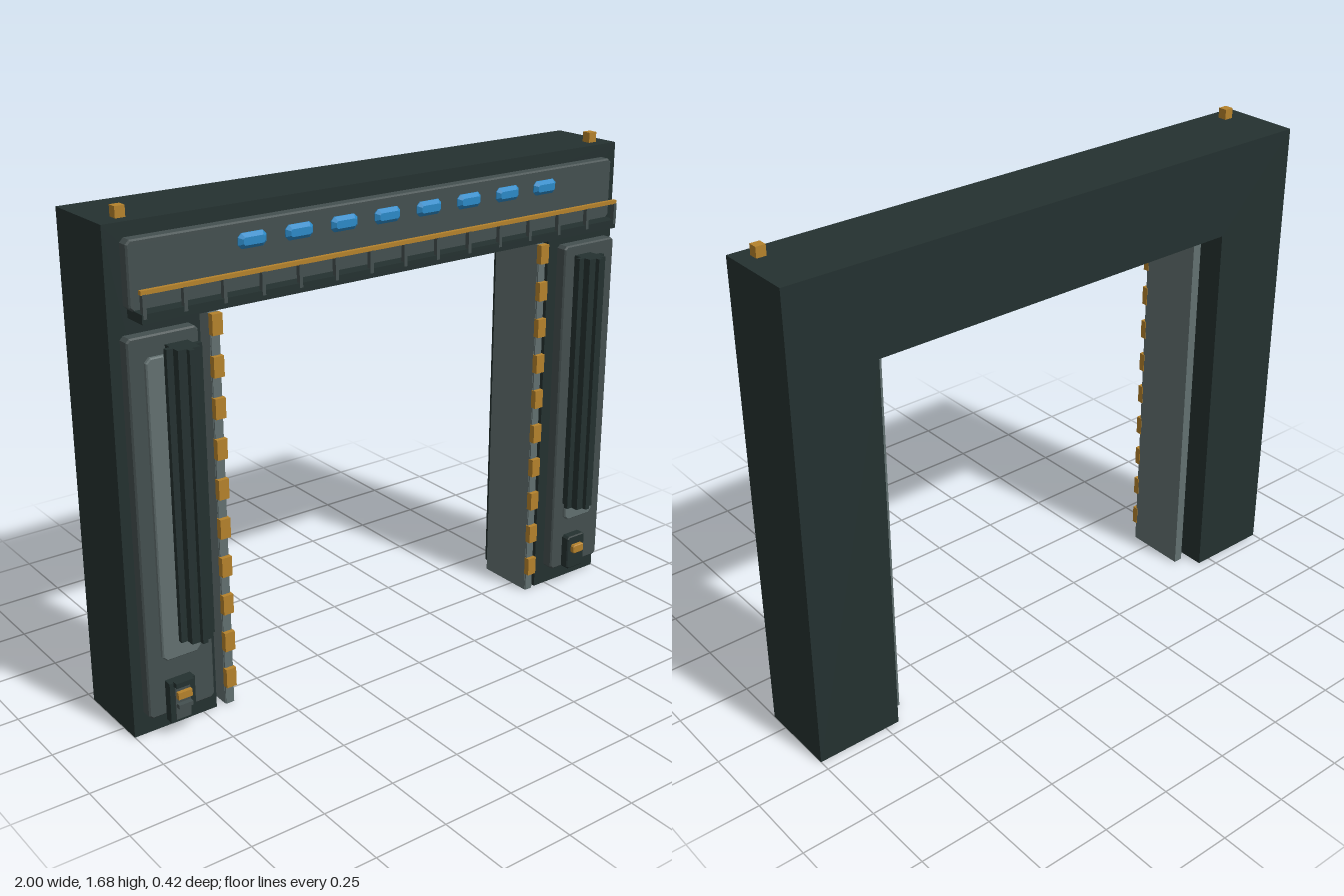
import * as THREE from 'three';

const mat = (name, color) => Object.assign(new THREE.MeshStandardMaterial({ color }), { name });

export function createModel() {
  const dark = mat('dark frame', 0x243130);
  const grey = mat('panel grey', 0x444f4f);
  const light = mat('light grey', 0x627070);
  const amber = mat('amber', 0xb5822c);
  const blue = mat('blue lamp', 0x2c8ac8);

  const root = new THREE.Group();
  root.name = 'gateway';

  const add = (geo, name, material, parent = root) => {
    const mesh = new THREE.Mesh(geo, material);
    mesh.name = name;
    parent.add(mesh);
    return mesh;
  };
  // Box given by its limits on each axis
  const box = (name, material, x0, x1, y0, y1, z0, z1, parent) => {
    const geo = new THREE.BoxGeometry(x1 - x0, y1 - y0, z1 - z0);
    geo.translate((x0 + x1) / 2, (y0 + y1) / 2, (z0 + z1) / 2);
    return add(geo, name, material, parent);
  };
  // Plate with cut corners and a bevelled front edge
  const plate = (name, material, x0, x1, y0, y1, z0, z1, cut, bevel, parent) => {
    const s = new THREE.Shape();
    const [a, b, c, d] = [x0 + bevel, x1 - bevel, y0 + bevel, y1 - bevel];
    s.moveTo(a + cut, c);
    s.lineTo(b - cut, c);
    s.lineTo(b, c + cut);
    s.lineTo(b, d - cut);
    s.lineTo(b - cut, d);
    s.lineTo(a + cut, d);
    s.lineTo(a, d - cut);
    s.lineTo(a, c + cut);
    s.closePath();
    const geo = new THREE.ExtrudeGeometry(s, {
      depth: z1 - z0 - bevel, bevelEnabled: true, bevelSize: bevel, bevelThickness: bevel, bevelSegments: 1,
    });
    geo.translate(0, 0, z0);
    return add(geo, name, material, parent);
  };

  // Arch frame: two legs and a beam in one outline
  const outline = new THREE.Shape();
  [[-1, 0], [-0.7, 0], [-0.7, 1.34], [0.7, 1.34], [0.7, 0], [1, 0], [1, 1.65], [-1, 1.65]]
    .forEach(([x, y], i) => (i ? outline.lineTo(x, y) : outline.moveTo(x, y)));
  const frame = new THREE.ExtrudeGeometry(outline, { depth: 0.28, bevelEnabled: false });
  frame.translate(0, 0, -0.21);
  add(frame, 'archFrame', dark);

  const shift = 0.0075; // fittings sit slightly off the frame centre
  for (const side of [-1, 1]) {
    const leg = new THREE.Group();
    leg.name = side < 0 ? 'rightLegFittings' : 'leftLegFittings';
    root.add(leg);
    const span = (centre, width) => [side * centre + shift - width / 2, side * centre + shift + width / 2];

    // Facing panels
    plate('legPanel', grey, ...span(0.854, 0.236), 0.07, 1.32, 0.07, 0.11, 0.008, 0.005, leg);
    plate('legInset', light, ...span(0.853, 0.135), 0.265, 1.255, 0.107, 0.124, 0.012, 0.004, leg);

    // Vertical finned conduit
    box('conduitBase', dark, ...span(0.815, 0.075), 0.335, 1.285, 0.115, 0.19, leg);
    box('conduitSideFin', dark, ...span(0.815, 0.118), 0.335, 1.285, 0.145, 0.162, leg);
    box('conduitFrontFin', dark, ...span(0.815, 0.018), 0.335, 1.285, 0.19, 0.207, leg);

    // Inner lining with hazard edge
    box('innerLining', light, ...span(0.659, 0.033), 0, 1.335, -0.145, 0.07, leg);
    const step = 1.335 / 20;
    for (let i = 0; i < 20; i++) {
      const odd = i % 2 === 1;
      box(odd ? 'hazardBlock' : 'edgeBlock', odd ? amber : light,
        ...span(0.659, odd ? 0.036 : 0.03), i * step, (i + 1) * step, 0.068, odd ? 0.09 : 0.075, leg);
    }

    // Roof marker lamp
    box('markerLamp', amber, ...span(0.924, 0.033), 1.65, 1.685, -0.005, 0.027, leg);
  }

  // Control box on the left leg
  const control = new THREE.Group();
  control.name = 'controlBox';
  root.add(control);
  plate('boxBody', dark, 0.797, 0.882, 0.068, 0.2, 0.11, 0.142, 0.006, 0.004, control);
  plate('boxButton', amber, 0.813, 0.865, 0.134, 0.167, 0.14, 0.158, 0.004, 0.003, control);

  // Card reader on the right leg
  const reader = new THREE.Group();
  reader.name = 'readerBox';
  root.add(reader);
  box('readerBody', dark, -0.905, -0.815, 0.052, 0.192, 0.11, 0.14, reader);
  box('readerFoot', dark, -0.895, -0.825, 0.037, 0.055, 0.11, 0.122, reader);
  box('readerFace', grey, -0.888, -0.835, 0.06, 0.172, 0.138, 0.144, reader);
  box('readerHood', dark, -0.892, -0.828, 0.18, 0.197, 0.138, 0.16, reader);
  box('readerLamp', amber, -0.885, -0.835, 0.136, 0.16, 0.142, 0.158, reader);
  box('readerSlot', grey, -0.885, -0.835, 0.104, 0.118, 0.142, 0.16, reader);

  // Beam facing, underside strip and lamps
  plate('beamPanel', grey, -0.947, 0.947, 1.395, 1.605, 0.07, 0.108, 0.01, 0.005);
  box('beamUnderside', grey, -0.64, 0.65, 1.333, 1.341, -0.14, 0.045);
  for (let i = 0; i < 8; i++) {
    const x = -0.535 + i * 0.1665;
    plate('beamLamp', blue, x - 0.049, x + 0.049, 1.522, 1.57, 0.105, 0.123, 0.005, 0.012);
  }

  // Walkway ledge with posts and handrail
  const rail = new THREE.Group();
  rail.name = 'walkway';
  root.add(rail);
  box('walkwayLedge', dark, -0.935, 0.932, 1.37, 1.4, 0.07, 0.157, rail);
  box('handrail', amber, -0.935, 0.932, 1.456, 1.469, 0.143, 0.157, rail);
  for (let i = 0; i < 15; i++) {
    const x = -0.925 + i * 0.1323;
    box('railPost', grey, x - 0.006, x + 0.006, 1.385, 1.457, 0.142, 0.158, rail);
  }
  return root;
}
